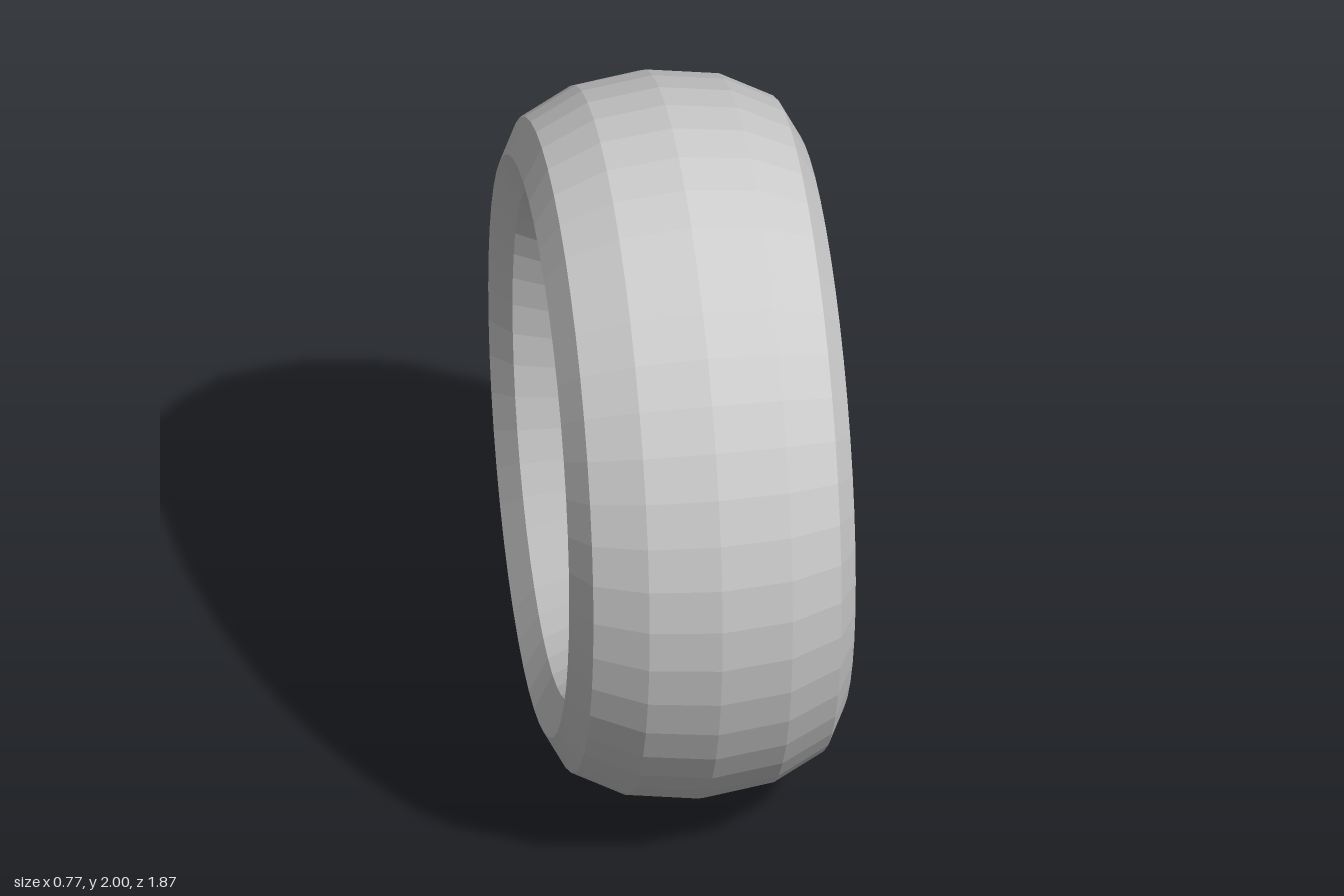
import * as THREE from 'three';

export function createModel() {
  const group = new THREE.Group();
  group.name = 'ring';

  // Wide faceted ring: twelve-sided section stretched along its axle, slightly oval in side view
  const geometry = new THREE.TorusGeometry(0.8, 0.2, 12, 48);
  geometry.rotateY(Math.PI / 2);
  geometry.scale(1.935, 1, 0.935);
  geometry.translate(0, 1, 0);

  const material = new THREE.MeshStandardMaterial({ color: 0xcccccc, flatShading: true });
  const band = new THREE.Mesh(geometry, material);
  band.name = 'ringBand';
  group.add(band);

  return group;
}
